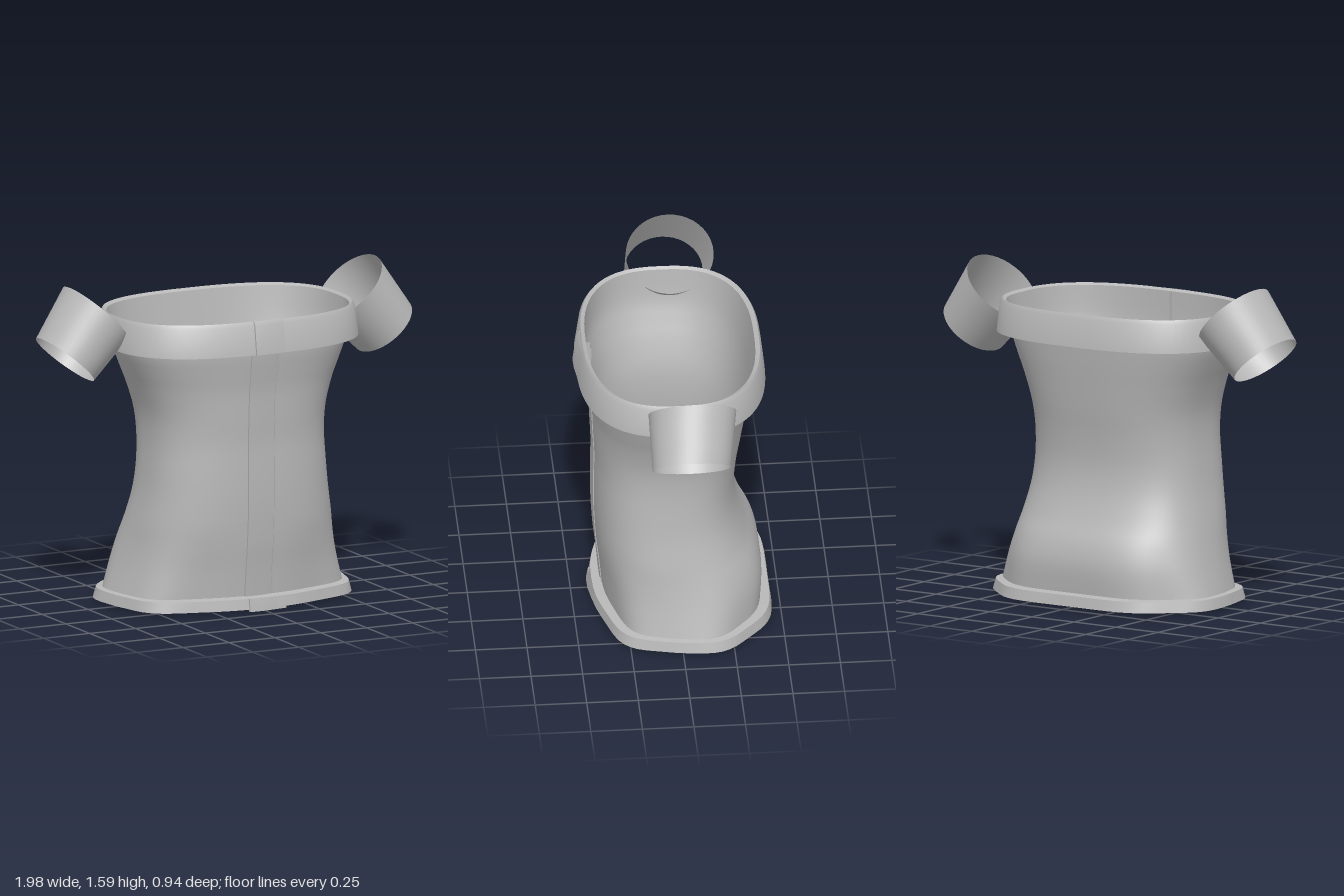
import * as THREE from 'three';
import { toCreasedNormals } from 'three/addons/utils/BufferGeometryUtils.js';

const N = 2.6; // roundness of the oval cross-sections
const SEGMENTS = 72;

// Point on an oval section; row = [y, half width, front z, back z], angle 0 is the front
function sectionPoint([y, hx, front, back], angle) {
  const s = Math.sin(angle), c = Math.cos(angle);
  const power = (v) => Math.sign(v) * Math.abs(v) ** (2 / N);
  // soft folds that fade out above the hem
  const fold = 1 + 0.022 * Math.cos(7 * angle) * THREE.MathUtils.clamp(1 - y / 0.4, 0, 1);
  return new THREE.Vector3(
    hx * power(s) * fold, y, (front + back) / 2 + ((front - back) / 2) * power(c) * fold);
}

// Skin a list of point rows
function skin(rows, closed, crease = 0.6) {
  const count = rows[0].length, index = [];
  for (let i = 0; i < rows.length - 1; i++) {
    for (let j = 0; j < (closed ? count : count - 1); j++) {
      const k = (j + 1) % count;
      const a = i * count + j, b = i * count + k;
      index.push(a, b, b + count, a, b + count, a + count);
    }
  }
  const geometry = new THREE.BufferGeometry().setFromPoints(rows.flat());
  geometry.setIndex(index);
  return toCreasedNormals(geometry, crease);
}

const ovalLoft = (rows) => skin(rows.map((row) =>
  Array.from({ length: SEGMENTS }, (_, j) => sectionPoint(row, (j / SEGMENTS) * Math.PI * 2))), true);

// Strip laid along the front; edge = [x, offset from the surface] pairs
const frontStrip = (rows, edge) => skin(rows.map((row) => edge.map(([x, offset]) => {
  const angle = Math.sign(x) * Math.asin((Math.abs(x) / row[1]) ** (N / 2));
  const p = sectionPoint(row, angle);
  p.z += offset;
  return p;
})), false, 0.5);

// Smooth a coarse profile
function smoothRows(rows, steps) {
  const curves = [1, 2, 3].map((k) =>
    new THREE.SplineCurve(rows.map((row) => new THREE.Vector2(row[0], row[k]))));
  return Array.from({ length: steps + 1 }, (_, i) => {
    const points = curves.map((curve) => curve.getPoint(i / steps));
    return [points[0].x, ...points.map((p) => p.y)];
  });
}

export function createModel() {
  const group = new THREE.Group();
  const cloth = new THREE.MeshStandardMaterial({ color: 0xb8b8b8, side: THREE.DoubleSide });
  cloth.name = 'grey cloth';
  const add = (name, geometry) => {
    const mesh = new THREE.Mesh(geometry, cloth);
    mesh.name = name;
    group.add(mesh);
    return mesh;
  };

  // Waisted body, continuing up inside the top band
  const body = smoothRows([
    [0.065, 0.59, 0.345, -0.41],
    [0.2, 0.55, 0.36, -0.42],
    [0.31, 0.522, 0.375, -0.397],
    [0.42, 0.5, 0.385, -0.345],
    [0.55, 0.475, 0.39, -0.303],
    [0.68, 0.46, 0.39, -0.288],
    [0.82, 0.452, 0.388, -0.3],
    [0.95, 0.462, 0.394, -0.322],
    [1.08, 0.5, 0.4, -0.342],
    [1.18, 0.54, 0.413, -0.357],
    [1.28, 0.575, 0.425, -0.37],
    [1.43, 0.595, 0.425, -0.39],
  ], 40);
  add('body', ovalLoft(body));

  // Top band with a bevelled rim
  const band = [
    [1.28, 0.575, 0.425, -0.37],
    [1.28, 0.637, 0.475, -0.438],
    [1.42, 0.622, 0.455, -0.422],
    [1.44, 0.61, 0.443, -0.412],
    [1.43, 0.595, 0.425, -0.39],
  ];
  add('topBand', ovalLoft(band));

  // Flared hem with a ledge above it, open underneath
  const hem = [
    [0.01, 0.628, 0.4, -0.468],
    [0.062, 0.615, 0.392, -0.458],
    [0.067, 0.59, 0.345, -0.41],
  ];
  add('hem', ovalLoft(hem));

  // Overlapping front closure, outside and inside
  const overlap = [[-0.08, -0.005], [-0.08, 0.01], [0, 0.008], [0.12, -0.003]];
  const outerBody = body.filter((row) => row[0] < 1.27);
  add('frontOverlap', frontStrip(outerBody, overlap));
  add('bandOverlap', frontStrip(band.slice(1, 4), overlap));
  add('hemOverlap', frontStrip([[0, 0.63, 0.401, -0.468], ...hem.slice(0, 2)], overlap));
  add('innerPlacket', frontStrip(body,
    [[0.01, 0.005], [0.01, -0.022], [0.06, -0.022], [0.06, 0.005]]));

  // Short open sleeves: rings from the lower opening to the upper one
  // [outer x, outer y, inner x, inner y, half depth, centre z]
  const lower = [0.99, 1.355, 0.74, 1.13, 0.19, -0.02];
  const upper = [0.83, 1.59, 0.55, 1.315, 0.213, -0.037];
  for (const side of [1, -1]) {
    const rings = [0, 0.25, 0.5, 0.75, 1].map((t) => {
      const [ox, oy, ix, iy, depth, cz] = lower.map((v, k) => THREE.MathUtils.lerp(v, upper[k], t));
      return Array.from({ length: 40 }, (_, j) => {
        const a = (j / 40) * Math.PI * 2 * side, u = (1 - Math.cos(a)) / 2;
        return new THREE.Vector3(side * THREE.MathUtils.lerp(ox, ix, u),
          THREE.MathUtils.lerp(oy, iy, u), cz - depth * Math.sin(a));
      });
    });
    add(side > 0 ? 'leftSleeve' : 'rightSleeve', skin(rings, true));
  }
  return group;
}
